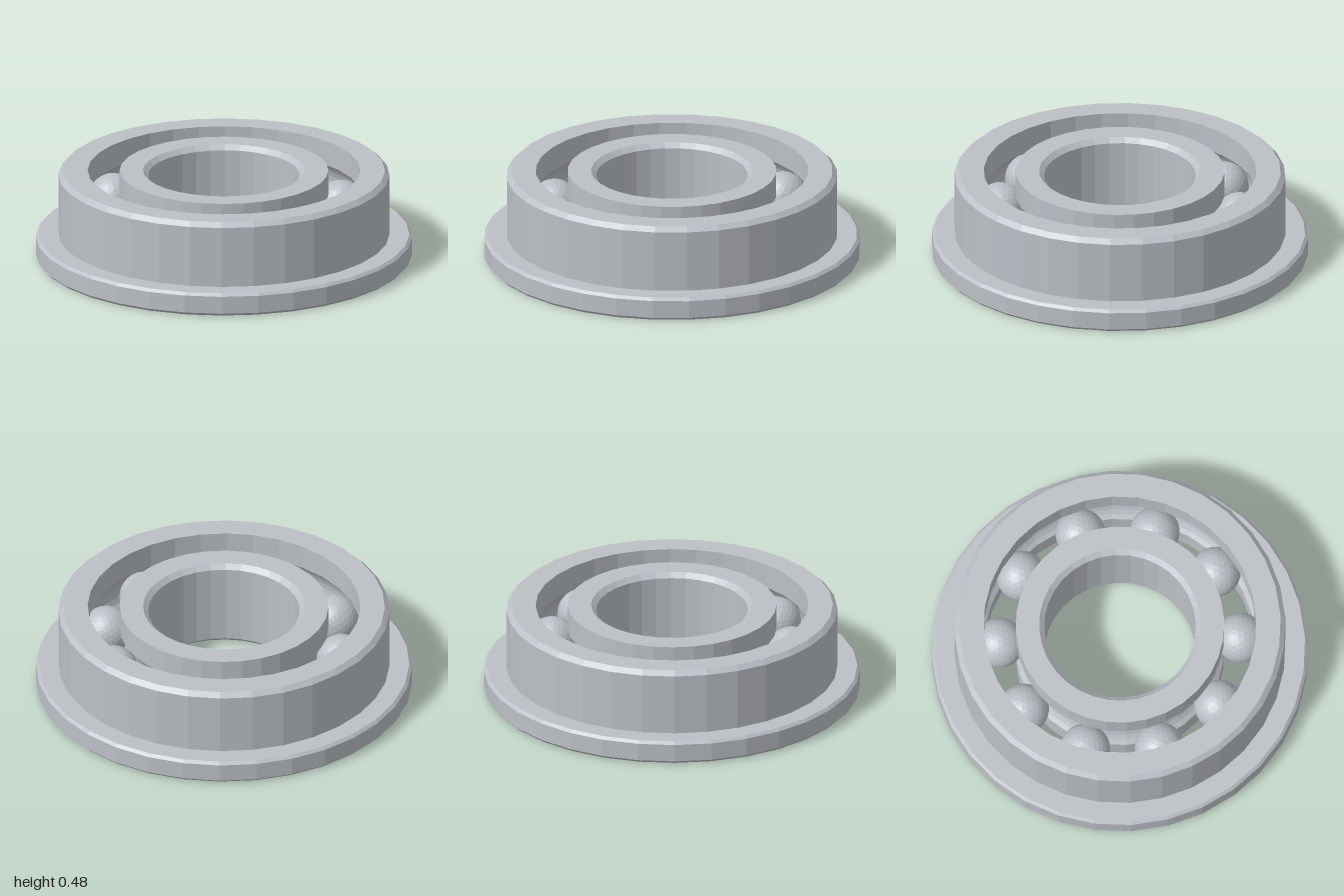
import * as THREE from 'three';

const SEGMENTS = 32;
const BALLS = 10;
const HEIGHT = 0.48;
const PITCH = 0.64; // radius of the ball circle
const BALL_R = 0.133;
const GROOVE_R = 0.137;

// Points of a raceway groove, as an arc about the ball centre
function groove(from, to, steps = 8) {
  return Array.from({ length: steps + 1 }, (_, i) => {
    const a = from + ((to - from) * i) / steps;
    return [PITCH + GROOVE_R * Math.cos(a), HEIGHT / 2 + GROOVE_R * Math.sin(a)];
  });
}

// Closed counter-clockwise (radius, height) profile turned into a ring
function ring(name, profile, material) {
  const points = [...profile, profile[0]].map(([r, y]) => new THREE.Vector2(r, y));
  const mesh = new THREE.Mesh(new THREE.LatheGeometry(points, SEGMENTS), material);
  mesh.name = name;
  return mesh;
}

export function createModel() {
  const model = new THREE.Group();
  model.name = 'flangedBallBearing';
  const steel = new THREE.MeshStandardMaterial({ color: 0xbcc0c6, flatShading: true });
  steel.name = 'steel';

  // Outer ring with a flange at the bottom and a groove in its bore
  const outerBore = 0.725;
  const a = Math.acos((outerBore - PITCH) / GROOVE_R);
  model.add(ring('outerRing', [
    [outerBore, 0], [0.985, 0], [1, 0.015], [1, 0.11], [0.985, 0.125],
    [0.88, 0.125], [0.88, 0.455], [0.855, HEIGHT], [outerBore, HEIGHT],
    ...groove(a, -a),
  ], steel));

  // Inner ring with a chamfered bore and a groove around the outside
  const innerR = 0.555;
  const b = Math.acos((PITCH - innerR) / GROOVE_R);
  model.add(ring('innerRing', [
    [0.43, 0], [innerR, 0],
    ...groove(Math.PI + b, Math.PI - b),
    [innerR, HEIGHT], [0.43, HEIGHT], [0.403, HEIGHT - 0.025], [0.403, 0.025],
  ], steel));

  // Balls spaced evenly between the rings
  const balls = new THREE.Group();
  balls.name = 'balls';
  const ballGeometry = new THREE.IcosahedronGeometry(BALL_R, 4);
  for (let i = 0; i < BALLS; i++) {
    const angle = (i / BALLS) * Math.PI * 2;
    const ball = new THREE.Mesh(ballGeometry, steel);
    ball.name = 'ball';
    ball.position.set(PITCH * Math.cos(angle), HEIGHT / 2, PITCH * Math.sin(angle));
    balls.add(ball);
  }
  model.add(balls);

  return model;
}
